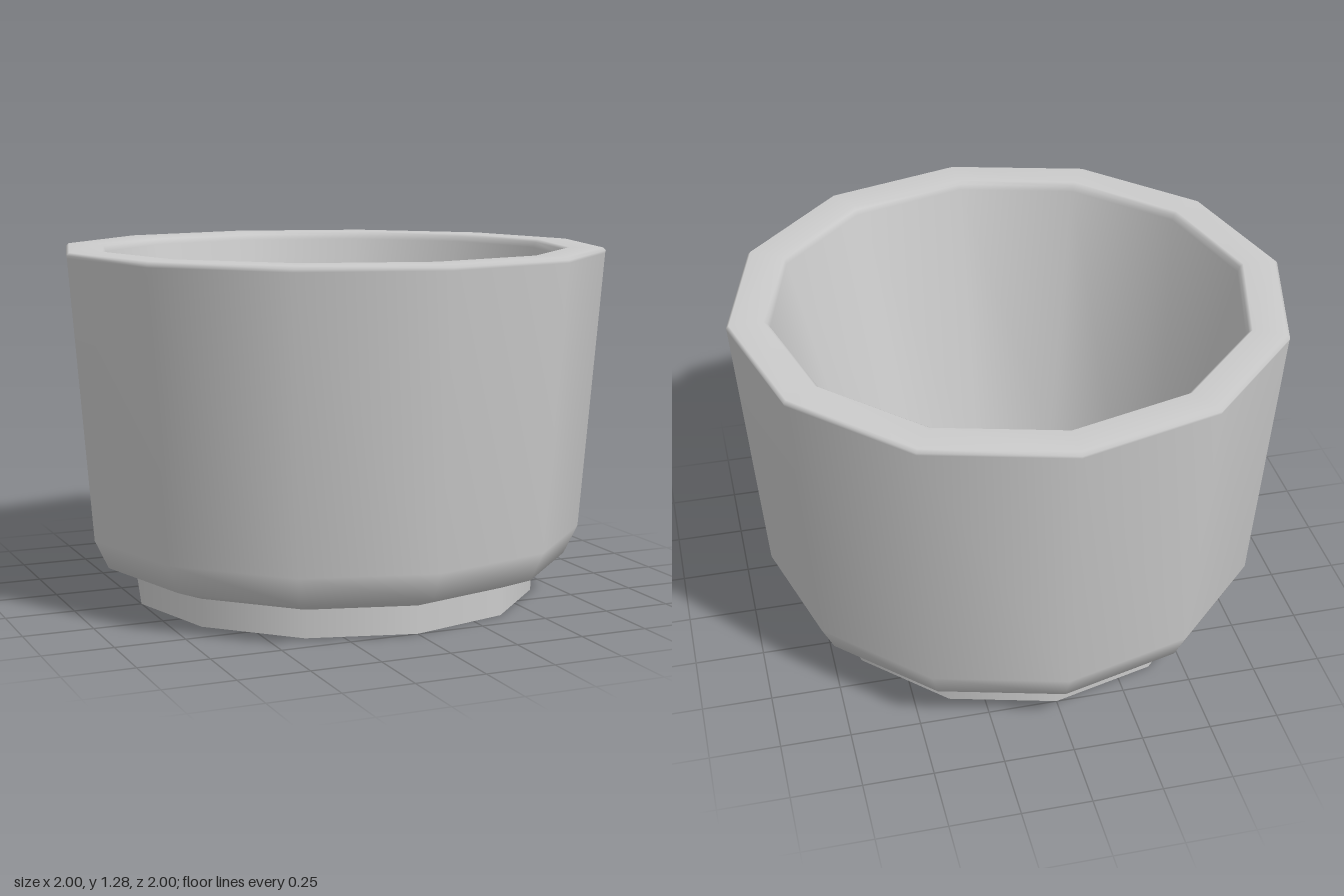
import * as THREE from 'three';

const SIDES = 12;
const material = new THREE.MeshStandardMaterial({ color: 0xcccccc });

// Revolve [radius, height] points; smooth within one profile, sharp between profiles
function revolve(name, points) {
  const profile = points.map(([r, y]) => new THREE.Vector2(r, y));
  const mesh = new THREE.Mesh(new THREE.LatheGeometry(profile, SIDES), material);
  mesh.name = name;
  return mesh;
}

export function createModel() {
  const group = new THREE.Group();
  group.name = 'bowl';

  // Outer wall, rounded rim and tapering inner wall
  group.add(revolve('wall', [
    [0.75, 0.10], [0.87, 0.145], [0.92, 0.25], [0.998, 1.26], [1.0, 1.27],
    [0.99, 1.28], [0.87, 1.28], [0.857, 1.27], [0.85, 1.25], [0.597, 0.22],
  ]));
  group.add(revolve('innerFloor', [[0.597, 0.22], [0, 0.22]]));

  // Foot ring with a shallow recess underneath
  const foot = new THREE.Group();
  foot.name = 'foot';
  foot.add(
    revolve('footOuterSide', [[0.75, 0], [0.75, 0.10]]),
    revolve('footBottom', [[0.645, 0], [0.75, 0]]),
    revolve('footInnerSide', [[0.645, 0.04], [0.645, 0]]),
    revolve('footRecess', [[0, 0.04], [0.645, 0.04]]),
  );
  group.add(foot);
  return group;
}
